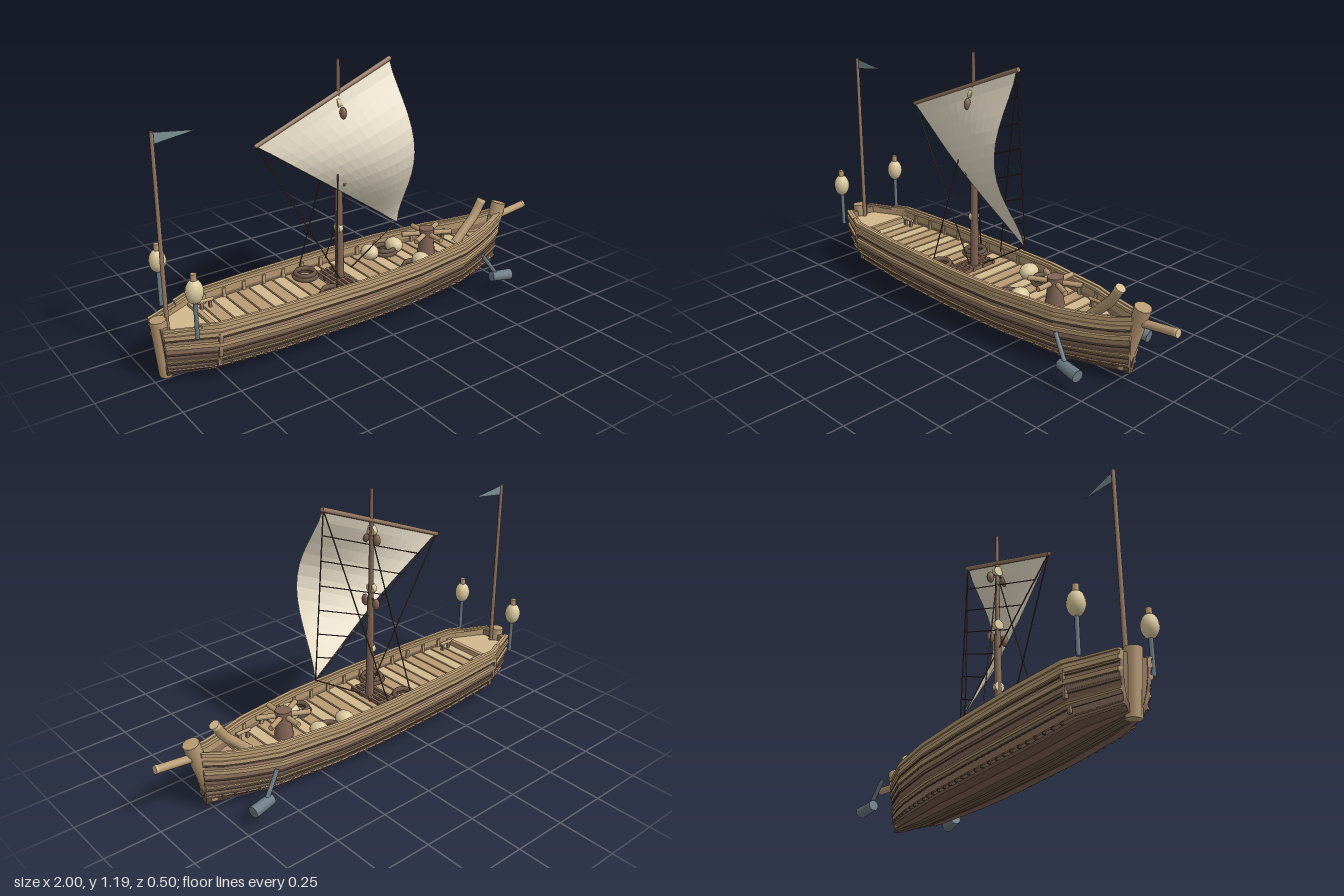
import * as THREE from 'three';

const mat = (name, color, extra = {}) => {
  const m = new THREE.MeshStandardMaterial({ color, ...extra });
  m.name = name;
  return m;
};
const V = (x, y, z) => new THREE.Vector3(x, y, z);

// Linear lookup in a list of [key, value] pairs
function table(t, x) {
  if (x <= t[0][0]) return t[0][1];
  for (let i = 1; i < t.length; i++) {
    const [a, p] = t[i - 1], [b, q] = t[i];
    if (x <= b) return p + (q - p) * (x - a) / (b - a);
  }
  return t[t.length - 1][1];
}

// Hull lines: half breadth, sheer, keel and the section from keel to rail
const BREADTH = [[-0.96, 0.067], [-0.78, 0.16], [-0.5, 0.18], [-0.1, 0.19], [0.2, 0.183], [0.5, 0.142], [0.65, 0.09], [0.79, 0.03]];
const SHEER = [[-0.96, 0.248], [-0.8, 0.25], [0, 0.248], [0.55, 0.254], [0.7, 0.265], [0.79, 0.288]];
const KEEL = [[-0.96, 0.035], [-0.5, 0.013], [0, 0.008], [0.5, 0.016], [0.79, 0.045]];
const SECTION_Z = [[0, 0], [0.2, 0.5], [0.4, 0.76], [0.6, 0.91], [0.8, 1], [1, 0.97]];
const SECTION_Y = [[0, 0], [0.2, 0.03], [0.4, 0.2], [0.6, 0.42], [0.8, 0.7], [1, 1]];
const DECK = 0.2;
const STATIONS = [-0.96, -0.9, -0.84, -0.78, -0.7, -0.6, -0.5, -0.35, -0.2, -0.1, 0, 0.1, 0.2, 0.3, 0.4, 0.5, 0.58, 0.65, 0.72, 0.79];

function hullPoint(x, v, s, off) {
  const f = table(SECTION_Y, v), k = table(KEEL, x);
  const rake = f * (-0.02 * THREE.MathUtils.smoothstep(-x, 0.8, 0.96) + 0.02 * THREE.MathUtils.smoothstep(x, 0.6, 0.79));
  const z = Math.max(0, table(BREADTH, x) * table(SECTION_Z, v) + off);
  return V(x + rake, k + f * (table(SHEER, x) - k) - off * (1 - v), s * z);
}

// Closed solid through rings of equal point count, oriented outwards
function loft(rings) {
  const n = rings[0].length, tris = [];
  for (let i = 0; i + 1 < rings.length; i++) for (let j = 0; j < n; j++) {
    const k = (j + 1) % n, A = rings[i], B = rings[i + 1];
    tris.push([A[j], A[k], B[k]], [A[j], B[k], B[j]]);
  }
  const E = rings[rings.length - 1], S = rings[0];
  for (let j = 1; j + 1 < n; j++) tris.push([S[0], S[j + 1], S[j]], [E[0], E[j], E[j + 1]]);
  let vol = 0;
  for (const [a, b, c] of tris) vol += a.dot(b.clone().cross(c));
  const pts = tris.flatMap(([a, b, c]) => (vol < 0 ? [a, c, b] : [a, b, c]));
  const g = new THREE.BufferGeometry().setFromPoints(pts);
  g.computeVertexNormals();
  return g;
}

export function createModel() {
  const M = {
    pale: mat('pale wood', 0xd2b98e), wood: mat('wood', 0xb89b73), brown: mat('brown wood', 0x957962),
    dark: mat('dark wood', 0x6c5646), mast: mat('mast wood', 0x806454),
    sail: mat('sailcloth', 0xe8dec9, { side: THREE.DoubleSide, flatShading: true }),
    rope: mat('rope', 0x5a4638), iron: mat('iron', 0x6c7a84), lamp: mat('lamp paper', 0xdbca9f),
    flag: mat('pennant cloth', 0x7b8e97, { side: THREE.DoubleSide }),
  };
  const model = new THREE.Group();
  const add = (name, geo, m, p) => {
    const mesh = new THREE.Mesh(geo, m);
    mesh.name = name;
    if (p) mesh.position.copy(p);
    model.add(mesh);
    return mesh;
  };
  const rod = (name, a, b, r0, r1, m, sides = 10) => {
    const d = b.clone().sub(a);
    const mesh = add(name, new THREE.CylinderGeometry(r1, r0, d.length(), sides), m, a.clone().add(b).multiplyScalar(0.5));
    mesh.quaternion.setFromUnitVectors(V(0, 1, 0), d.normalize());
    return mesh;
  };
  const rope = (name, a, b, r = 0.003) => rod(name, a, b, r, r, M.rope, 5);
  const box = (name, w, h, d, m, p) => add(name, new THREE.BoxGeometry(w, h, d), m, p);
  const ball = (name, rx, ry, rz, m, p) => {
    const mesh = add(name, new THREE.SphereGeometry(1, 14, 10), m, p);
    mesh.scale.set(rx, ry, rz);
    return mesh;
  };

  // Hull planking, wales, seams and rails
  const band = (name, v0, v1, s, out, m) => add(name, loft(STATIONS.map(x => [
    hullPoint(x, v0, s, out), hullPoint(x, v1, s, out), hullPoint(x, v1, s, -0.014), hullPoint(x, v0, s, -0.014)])), m);
  const planks = ['dark', 'mast', 'dark', 'mast', 'brown', 'brown', 'mast', 'brown', 'brown', 'wood'];
  for (const s of [1, -1]) {
    planks.forEach((c, i) => band('hullPlank', i / 10, (i + 1) / 10, s, i % 2 ? 0.003 : 0, M[c]));
    band('lowerWale', 0.34, 0.38, s, 0.008, M.brown);
    band('middleWale', 0.54, 0.57, s, 0.008, M.wood);
    band('upperWale', 0.77, 0.82, s, 0.01, M.wood);
    band('sheerWale', 0.9, 0.95, s, 0.01, M.wood);
    for (const v of [0.48, 0.66, 0.755, 0.865]) band('hullSeam', v, v + 0.013, s, 0.005, M.dark);
    for (const [from, to, h] of [[-0.85, 0.8, 0.018], [-1, -0.77, 0.008]]) {
      for (const [name, out, inn, lift] of [['outerRail', 0.01, -0.006, h], ['innerRail', -0.008, -0.022, h - 0.004]]) {
        add(name, loft(STATIONS.filter(x => x >= from && x <= to).map(x => {
          const o = hullPoint(x, 1, s, out), i = hullPoint(x, 1, s, inn), up = V(0, lift, 0);
          return [o, o.clone().add(up), i.clone().add(up), i];
        })), M.wood);
      }
    }
    for (let x = -0.72; x < 0.74; x += 0.05) box('hullPeg', 0.01, 0.01, 0.01, M.dark, hullPoint(x, 0.37, s, 0.007));
    for (let x = -0.7; x < 0.6; x += 0.1) box('bulwarkRib', 0.016, 0.05, 0.012, M.wood, hullPoint(x, 0.9, s, -0.016));
    // Vertical timber where the stern narrows
    for (const v of [0.5, 0.68, 0.86]) box('quarterTimber', 0.016, 0.045, 0.012, M.brown, hullPoint(-0.78, v, s, 0.002));
  }
  add('transom', loft([-0.955, -0.93].map(x => [1, -1].flatMap(s => {
    const vs = [0, 0.2, 0.4, 0.6, 0.8, 1];
    return (s > 0 ? vs : vs.slice(1).reverse()).map(v => hullPoint(x, v, s, -0.003));
  }))), M.brown);
  add('keel', loft(STATIONS.map(x => {
    const k = table(KEEL, x);
    return [V(x, k - 0.006, -0.014), V(x, k + 0.012, -0.014), V(x, k + 0.012, 0.014), V(x, k - 0.006, 0.014)];
  })), M.dark);

  // Deck with crosswise planks
  const slab = (x0, x1, y0, y1, gap) => loft([x0, x1].map(x => {
    const w = Math.max(0.008, table(BREADTH, x) * 0.98 - gap);
    return [V(x, y0, -w), V(x, y1, -w), V(x, y1, w), V(x, y0, w)];
  }));
  STATIONS.slice(0, -1).forEach((x, i) => add('underDeck', slab(x, STATIONS[i + 1], DECK - 0.02, DECK - 0.01, 0.012), M.dark));
  for (let i = 0; i < 25; i++) {
    const x = -0.77 + i * 0.06;
    add('deckPlank', slab(x, x + 0.052, DECK - 0.01, DECK, 0.013), [M.pale, M.wood, M.pale, M.wood, M.wood][i % 5]);
  }
  add('sternDeck', slab(-0.95, -0.78, DECK, DECK + 0.02, 0.012), M.pale);
  box('sternBeam', 0.02, 0.025, 0.28, M.wood, V(-0.765, 0.215, 0));

  // Stem, stern post, bowsprit and curved bow timber
  rod('sternPost', V(-0.948, 0.022, 0), V(-0.968, 0.275, 0), 0.03, 0.034, M.wood);
  rod('stemPost', V(0.748, 0.05, 0), V(0.832, 0.345, 0), 0.028, 0.036, M.wood);
  rod('bowsprit', V(0.78, 0.272, 0), V(0.99, 0.296, 0), 0.018, 0.018, M.wood);
  rod('bowspritEnd', V(0.988, 0.296, 0), V(0.998, 0.297, 0), 0.019, 0.019, M.pale);
  const knee = new THREE.CatmullRomCurve3([V(0.56, 0.2, 0), V(0.62, 0.26, 0), V(0.67, 0.31, 0), V(0.718, 0.385, 0)]);
  add('bowKnee', new THREE.TubeGeometry(knee, 10, 0.022, 8), M.wood);
  rod('bowKneeCap', V(0.712, 0.375, 0), V(0.72, 0.388, 0), 0.023, 0.023, M.pale);

  // Deck fittings: bitts, coils, cargo and hatch
  for (const s of [1, -1]) {
    for (const [x, z] of [[-0.71, 0.105], [0.53, 0.085]]) {
      rod('bittBar', V(x - 0.035, 0.235, s * z), V(x + 0.035, 0.235, s * z), 0.008, 0.008, M.wood, 8);
      for (const d of [-0.02, 0.02]) box('bittPost', 0.012, 0.045, 0.012, M.brown, V(x + d, 0.217, s * z));
    }
    for (const x of [-0.22, 0.22]) {
      for (const [r, y] of [[0.05, 0.208], [0.043, 0.222]]) {
        add('ropeCoil', new THREE.TorusGeometry(r, 0.011, 6, 18), M.dark, V(x, y, s * 0.108)).rotation.x = Math.PI / 2;
      }
    }
  }
  for (const [x, z] of [[0.13, -0.105], [0.27, -0.105], [0.27, 0.098]]) ball('cargoBundle', 0.04, 0.036, 0.047, M.lamp, V(x, 0.228, z));
  for (let i = 0; i < 4; i++) {
    box('hatchBar', 0.012, 0.02, 0.2, M.mast, V(-0.165 + i * 0.025, 0.208, 0));
    box('hatchCrossbar', 0.095, 0.016, 0.012, M.mast, V(-0.127, 0.209, -0.09 + i * 0.06));
  }

  // Capstan with crossing bars
  rod('capstanDrum', V(0.38, DECK, 0), V(0.38, 0.285, 0), 0.042, 0.032, M.mast, 12);
  rod('capstanHead', V(0.38, 0.284, 0), V(0.38, 0.322, 0), 0.036, 0.036, M.mast, 12);
  for (let i = 0; i < 3; i++) {
    const a = Math.PI / 6 + i * Math.PI / 3, d = V(Math.cos(a) * 0.12, 0, Math.sin(a) * 0.106), c = V(0.38, 0.298, 0);
    rod('capstanBar', c.clone().sub(d), c.clone().add(d), 0.012, 0.012, M.wood, 8);
  }

  // Mast with sheaves and pulley blocks
  const mx = -0.11;
  rod('lowerMast', V(mx, 0.18, 0), V(mx, 0.69, 0), 0.02, 0.015, M.mast, 12);
  rod('upperMast', V(mx, 0.68, 0), V(mx, 1.19, 0), 0.012, 0.008, M.mast, 10);
  for (const y of [0.45, 0.74, 1.005]) rod('mastSheave', V(mx - 0.014, y, 0), V(mx + 0.006, y, 0), 0.023, 0.023, M.lamp, 12);
  for (const y of [0.675, 0.97]) for (const s of [1, -1]) {
    ball('pulleyBlock', 0.014, 0.026, 0.018, M.mast, V(mx, y, s * 0.035));
    rope('blockStrop', V(mx, y + 0.03, 0), V(mx, y, s * 0.035));
  }

  // Triangular sail, billowing towards +z
  const A = V(-0.5, 0.895, 0), B = V(0.148, 1.155, 0), C = V(0.203, 0.4, 0);
  const sailPoint = (u, v) => {
    const p = A.clone().lerp(B, u).lerp(C, v);
    const swell = Math.pow(Math.max(0, Math.sin(Math.PI * Math.pow(v, 0.93))), 1.5);
    p.z = 0.004 + 0.15 * swell * (0.14 + 0.86 * Math.sin(u * Math.PI / 2));
    return p;
  };
  const cloth = new THREE.PlaneGeometry(1, 1, 12, 14), pos = cloth.attributes.position;
  for (let i = 0; i < pos.count; i++) {
    const p = sailPoint(pos.getX(i) + 0.5, 0.5 - pos.getY(i));
    pos.setXYZ(i, p.x, p.y, p.z);
  }
  cloth.computeVertexNormals();
  add('sail', cloth, M.sail);
  rod('yard', A.clone().lerp(B, -0.01), A.clone().lerp(B, 1.01), 0.009, 0.011, M.brown, 8);

  // Flat rope net behind the sail, parallel to the yard, and the rigging
  rope('leechRope', B, C);
  rope('footRope', A, C);
  for (let i = 1; i < 7; i++) rope('sailLine', B.clone().lerp(C, i / 7), A.clone().lerp(C, i / 7), 0.0025);
  rope('yardBrace', A, V(-0.12, 0.21, 0.02));
  rope('sheet', C, V(-0.05, 0.24, 0));
  for (const s of [1, -1]) rope('shroud', V(mx, 0.99, 0), V(-0.225, 0.24, s * 0.148));
  rope('peakBrace', B, V(-0.09, 0.24, -0.145));

  // Stern flagstaff and pennant
  rod('flagstaff', V(-0.93, 0.2, 0), V(-0.93, 1.035, 0), 0.01, 0.008, M.brown, 8);
  const pennant = new THREE.Shape([[-0.93, 0.985], [-0.75, 1.01], [-0.93, 1.032]].map(p => new THREE.Vector2(...p)));
  add('pennant', new THREE.ShapeGeometry(pennant), M.flag);

  // Stern lanterns and side anchors
  for (const s of [1, -1]) {
    const z = s * 0.165;
    rod('lanternPole', V(-0.88, 0.24, z), V(-0.88, 0.4, z), 0.009, 0.009, M.iron, 8);
    ball('lantern', 0.036, 0.051, 0.036, M.lamp, V(-0.88, 0.441, z));
    rod('lanternCap', V(-0.88, 0.484, z), V(-0.88, 0.515, z), 0.013, 0.013, M.wood, 8);
    rod('anchorArm', V(0.56, 0.205, s * 0.194), V(0.64, 0.09, s * 0.216), 0.01, 0.01, M.iron, 8);
    rod('anchorHead', V(0.605, 0.093, s * 0.212), V(0.708, 0.082, s * 0.226), 0.024, 0.027, M.iron, 10);
  }
  return model;
}
